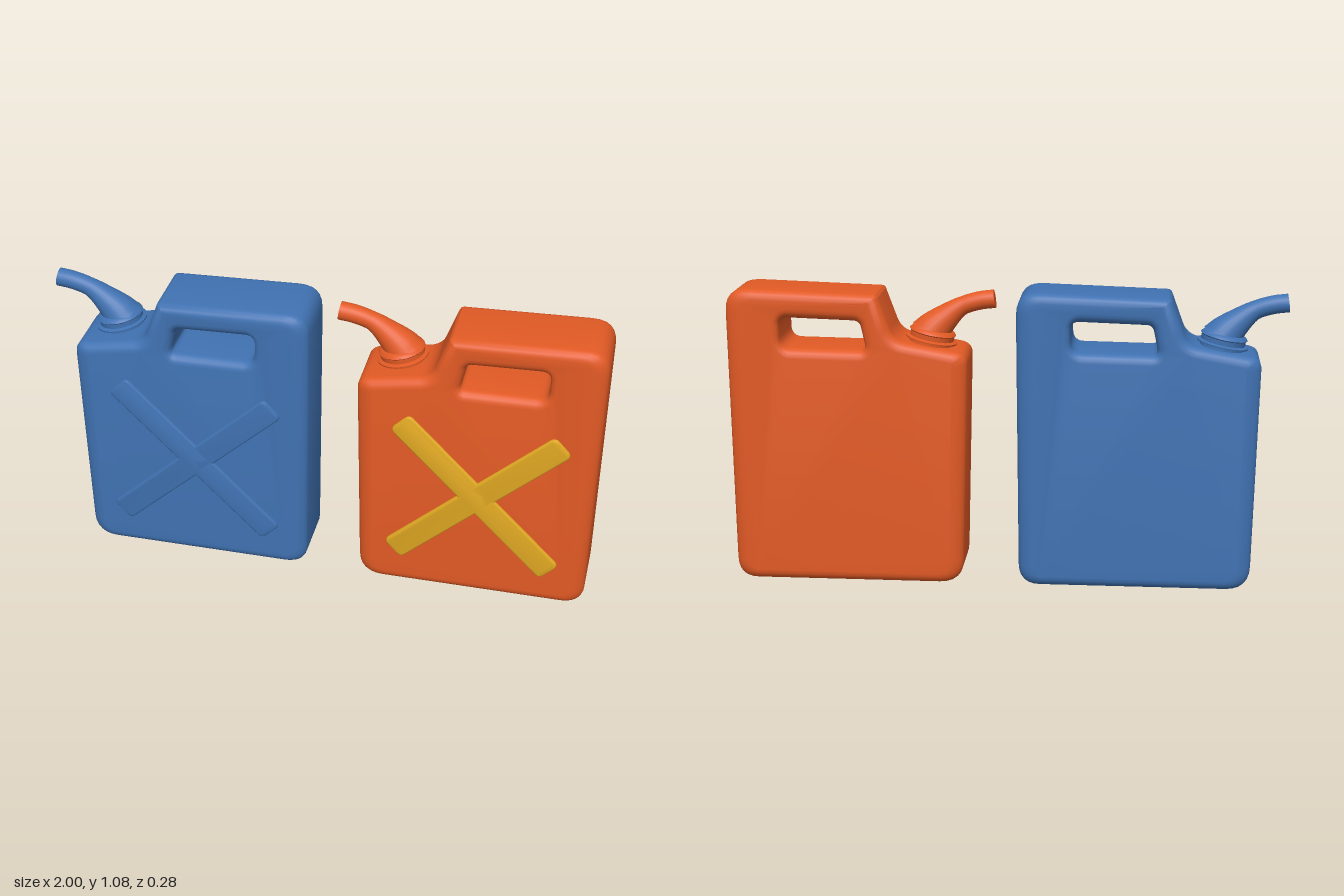
import * as THREE from 'three';
import { toCreasedNormals } from 'three/addons/utils/BufferGeometryUtils.js';

const mat = (name, color) => {
  const m = new THREE.MeshStandardMaterial({ color });
  m.name = name;
  return m;
};

// Closed outline from [x, y, cornerCut] points, corners rounded by curves
function roundedPath(path, pts) {
  const n = pts.length;
  pts.forEach(([x, y, r], i) => {
    const p = new THREE.Vector2(x, y);
    const toward = ([a, b]) => new THREE.Vector2(a, b).sub(p).setLength(r).add(p);
    const a = toward(pts[(i + n - 1) % n]), b = toward(pts[(i + 1) % n]);
    if (i === 0) path.moveTo(a.x, a.y); else path.lineTo(a.x, a.y);
    path.quadraticCurveTo(x, y, b.x, b.y);
  });
  path.closePath();
  return path;
}

// Can shell with the handle opening
function bodyGeometry() {
  const shape = roundedPath(new THREE.Shape(), [
    [0.153, 0, 0.085], [0.987, 0, 0.075], [1.0, 1.078, 0.085],
    [0.455, 1.06, 0.012], [0.395, 0.897, 0.045], [0.135, 0.852, 0.04],
  ]);
  shape.holes.push(roundedPath(new THREE.Path(), [
    [0.495, 0.86, 0.025], [0.518, 0.966, 0.022], [0.806, 0.975, 0.03], [0.806, 0.865, 0.04],
  ]));
  const bevel = 0.035, depth = 0.27;
  const g = new THREE.ExtrudeGeometry(shape, {
    depth: depth - 2 * bevel, bevelEnabled: true, bevelSize: bevel, bevelThickness: bevel,
    bevelOffset: -bevel, bevelSegments: 5, curveSegments: 6,
  });
  g.translate(0, 0, -0.14 + bevel);
  // Draw the rounded front and back edges in a little further at the sides
  const p = g.attributes.position, cx = 0.57;
  for (let i = 0; i < p.count; i++) {
    const t = Math.max(0, Math.abs(p.getZ(i) + 0.005) - (depth / 2 - bevel)) / bevel;
    p.setX(i, cx + (p.getX(i) - cx) * (1 - 0.045 * t * t));
  }
  return toCreasedNormals(g, 0.7);
}

// Raised bar of the front cross
function barGeometry(length) {
  const l = length / 2, w = 0.047;
  const shape = roundedPath(new THREE.Shape(), [[-l, -w, 0.022], [l, -w, 0.022], [l, w, 0.022], [-l, w, 0.022]]);
  const g = new THREE.ExtrudeGeometry(shape, {
    depth: 0.016, bevelSize: 0.008, bevelThickness: 0.006, bevelOffset: -0.008, bevelSegments: 3, curveSegments: 4,
  });
  return toCreasedNormals(g, 0.7);
}

// Bent spout: a tube that widens toward the collar
const spoutCurve = new THREE.CatmullRomCurve3([
  [0.277, 0.905], [0.26, 0.928], [0.222, 0.965], [0.165, 1.008], [0.1, 1.03], [0.043, 1.038],
].map(([x, y]) => new THREE.Vector3(x, y, 0)));
const TIP_RADIUS = 0.033;

function spoutGeometry() {
  const n = 28, sides = 24;
  const g = new THREE.TubeGeometry(spoutCurve, n, 1, sides, false);
  const p = g.attributes.position, v = new THREE.Vector3();
  for (let i = 0; i <= n; i++) {
    const c = spoutCurve.getPointAt(i / n);
    const k = Math.max(0, 1 - i / n / 0.6);
    const r = TIP_RADIUS + 0.041 * Math.pow(k, 1.3);
    for (let j = 0; j <= sides; j++) {
      const id = i * (sides + 1) + j;
      v.fromBufferAttribute(p, id).sub(c).multiplyScalar(r).add(c);
      p.setXYZ(id, v.x, v.y, v.z);
    }
  }
  g.computeVertexNormals();
  // Keep the seam along the tube smooth
  const nm = g.attributes.normal;
  for (let i = 0; i <= n; i++) {
    const a = i * (sides + 1), b = a + sides;
    v.fromBufferAttribute(nm, a).add(new THREE.Vector3().fromBufferAttribute(nm, b)).normalize();
    nm.setXYZ(a, v.x, v.y, v.z);
    nm.setXYZ(b, v.x, v.y, v.z);
  }
  return g;
}

// Flange and collar around the filler neck
function collarGeometry() {
  const profile = [
    [0, -0.03], [0.078, -0.03], [0.078, 0], [0.092, 0.001], [0.093, 0.007], [0.079, 0.011],
    [0.08, 0.028], [0.084, 0.032], [0.08, 0.038], [0.07, 0.044], [0, 0.046],
  ].map(([x, y]) => new THREE.Vector2(x, y));
  return toCreasedNormals(new THREE.LatheGeometry(profile, 32), 0.6);
}

export function createModel() {
  const orange = mat('orange plastic', 0xe25a25);
  const blue = mat('blue plastic', 0x4072b2);
  const yellow = mat('yellow paint', 0xe0a822);
  const geo = { body: bodyGeometry(), spout: spoutGeometry(), collar: collarGeometry() };

  function fuelCan(name, shell, crossMat) {
    const can = new THREE.Group();
    can.name = name;
    const add = (part, geometry, material, parent = can) => {
      const m = new THREE.Mesh(geometry, material);
      m.name = part;
      parent.add(m);
      return m;
    };
    add('body', geo.body, shell);

    // Cross on the front face
    const cross = new THREE.Group();
    cross.name = 'cross';
    can.add(cross);
    for (const [x1, y1, x2, y2] of [[0.295, 0.713, 0.857, 0.145], [0.281, 0.153, 0.872, 0.696]]) {
      const dx = x2 - x1, dy = y2 - y1;
      const bar = add('crossBar', barGeometry(Math.hypot(dx, dy)), crossMat, cross);
      bar.position.set((x1 + x2) / 2, (y1 + y2) / 2, 0.12);
      bar.rotation.z = Math.atan2(dy, dx);
    }

    // Neck collar and pouring spout
    const nozzle = new THREE.Group();
    nozzle.name = 'nozzle';
    nozzle.position.z = -0.028;
    can.add(nozzle);
    const collar = add('collar', geo.collar, shell, nozzle);
    collar.position.set(0.272, 0.885, 0);
    collar.rotation.z = 0.2;
    add('spout', geo.spout, shell, nozzle);
    const tip = new THREE.Mesh(new THREE.CircleGeometry(TIP_RADIUS, 24), shell);
    tip.name = 'spoutTip';
    tip.position.copy(spoutCurve.getPointAt(1));
    tip.lookAt(tip.position.clone().add(spoutCurve.getTangentAt(1)));
    nozzle.add(tip);
    return can;
  }

  const model = new THREE.Group();
  model.name = 'fuelCans';
  const blueCan = fuelCan('blueCan', blue, blue);
  blueCan.position.x = -1.037;
  model.add(fuelCan('orangeCan', orange, yellow), blueCan);
  return model;
}
